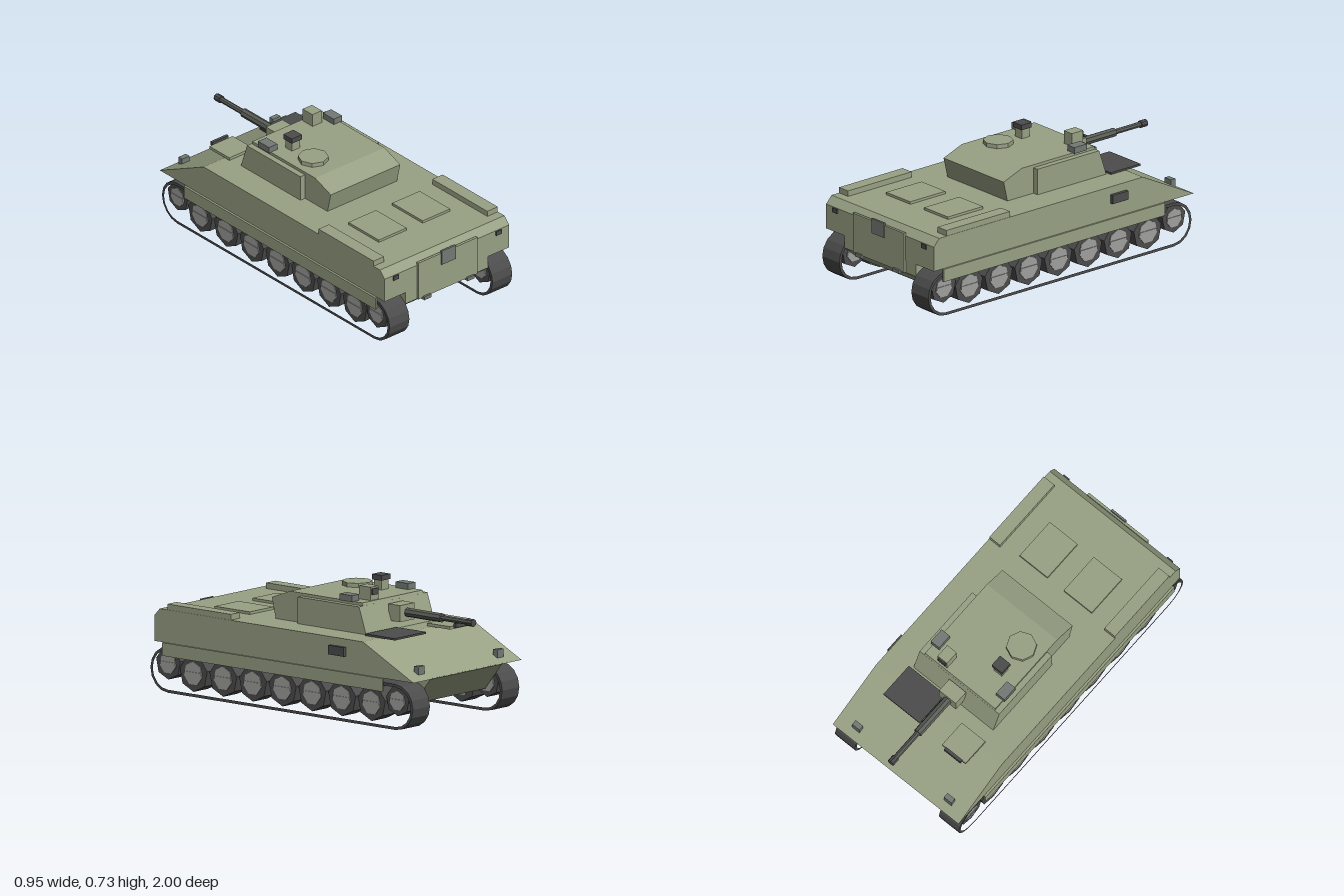
import * as THREE from 'three';

const mat = (name, color) => {
  const m = new THREE.MeshStandardMaterial({ color, flatShading: true });
  m.name = name;
  return m;
};

export function createModel() {
  const green = mat('olive green', 0x98a184);
  const dark = mat('dark grey', 0x4c4c4c);
  const grey = mat('glass grey', 0x737a74);
  const hubGrey = mat('hub grey', 0xa0a09e);
  const steel = mat('gun steel', 0x5b5e58);

  const model = new THREE.Group();
  model.name = 'trackedVehicle';
  const CX = -0.005; // centre line of the vehicle

  const add = (name, geo, material, parent = model) => {
    const mesh = new THREE.Mesh(geo, material);
    mesh.name = name;
    parent.add(mesh);
    return mesh;
  };
  // box from its min and max on each axis
  const box = (name, material, x0, x1, y0, y1, z0, z1, parent) => {
    const mesh = add(name, new THREE.BoxGeometry(x1 - x0, y1 - y0, z1 - z0), material, parent);
    mesh.position.set((x0 + x1) / 2, (y0 + y1) / 2, (z0 + z1) / 2);
    return mesh;
  };
  // side profile of [z, y] points, swept from x0 to x1
  const toShape = (pts) => pts.map(([z, y]) => new THREE.Vector2(-z, y));
  const sweep = (name, material, x0, x1, pts, hole, parent) => {
    const shape = new THREE.Shape(toShape(pts));
    if (hole) shape.holes.push(new THREE.Path(toShape(hole)));
    const geo = new THREE.ExtrudeGeometry(shape, { depth: x1 - x0, bevelEnabled: false });
    geo.rotateY(Math.PI / 2);
    geo.translate(x0, 0, 0);
    return add(name, geo, material, parent);
  };

  // Hull
  sweep('upperHull', green, -0.465, 0.455,
    [[0.965, 0.285], [0.965, 0.43], [0.925, 0.473], [-0.58, 0.473], [-0.955, 0.285]]);
  sweep('lowerHull', green, -0.31, 0.3,
    [[0.962, 0.288], [0.962, 0.21], [0.86, 0.127], [-0.82, 0.127], [-0.95, 0.288]]);
  box('skirt', green, -0.478, -0.465, 0.21, 0.285, -0.735, 0.9);
  box('skirt', green, 0.455, 0.466, 0.21, 0.285, -0.735, 0.9);
  box('stowageBin', green, -0.465, -0.388, 0.473, 0.506, 0.4, 0.87);
  box('stowageBin', green, 0.376, 0.453, 0.473, 0.506, 0.4, 0.87);
  box('roofHatch', green, -0.27, -0.065, 0.473, 0.488, 0.43, 0.69);
  box('roofHatch', green, 0.054, 0.257, 0.473, 0.488, 0.43, 0.69);
  box('driverHatch', green, -0.31, -0.138, 0.473, 0.49, -0.71, -0.54);
  box('driverPeriscope', dark, -0.286, -0.168, 0.48, 0.505, -0.728, -0.71);
  box('engineGrille', dark, 0.042, 0.308, 0.473, 0.484, -0.69, -0.47);
  box('exhaust', dark, 0.455, 0.475, 0.375, 0.427, -0.455, -0.34);

  // Rear door and lights
  box('rearDoor', green, -0.225, 0.212, 0.213, 0.447, 0.96, 0.976);
  box('doorPlate', grey, -0.057, 0.047, 0.375, 0.463, 0.97, 0.982);
  for (const x of [-0.166, 0.155]) box('doorStep', grey, x - 0.026, x + 0.026, 0.2, 0.221, 0.96, 0.988);
  for (const x of [-0.385, 0.374]) box('tailLight', dark, x - 0.02, x + 0.02, 0.401, 0.427, 0.96, 0.974);
  for (const x of [-0.343, 0.329]) box('headlight', grey, x - 0.027, x + 0.027, 0.31, 0.357, -0.905, -0.873);

  // Running gear
  const stadium = (r) => {
    const pts = [];
    for (const [cz, start] of [[0.87, -90], [-0.815, 90]]) {
      for (let i = 0; i <= 8; i++) {
        const a = THREE.MathUtils.degToRad(start + i * 22.5);
        pts.push([cz + r * Math.cos(a), 0.13 + r * Math.sin(a)]);
      }
    }
    return pts;
  };
  const wheelRows = [[0.877, 0.165, 0.092], [-0.823, 0.165, 0.087]];
  for (let i = 0; i < 7; i++) wheelRows.push([0.69 - i * 0.22, 0.13, 0.104]);

  for (const side of [-1, 1]) {
    const gear = new THREE.Group();
    gear.name = side > 0 ? 'leftRunningGear' : 'rightRunningGear';
    gear.position.x = CX + side * 0.38;
    model.add(gear);
    sweep('track', dark, -0.0725, 0.0725, stadium(0.13), stadium(0.113), gear);
    // wheel discs lie along x with a flat side down
    const disc = (name, material, r, width, z, y) => {
      const geo = new THREE.CylinderGeometry(r, r, width, 7);
      geo.rotateY(Math.PI / 7 + Math.PI / 2);
      geo.rotateZ(Math.PI / 2);
      if (name === 'hub') geo.rotateX(Math.PI / 7);
      add(name, geo, material, gear).position.set(0, y, z);
    };
    for (const [z, y, r] of wheelRows) {
      disc('tyre', dark, r, 0.124, z, y);
      disc('hub', hubGrey, r * 0.66, 0.132, z, y);
      box('hubBar', hubGrey, -0.07, 0.07, y - 0.009, y + 0.009, z - r * 0.6, z + r * 0.6, gear);
    }
  }

  // Turret
  const turret = new THREE.Group();
  turret.name = 'turret';
  model.add(turret);
  sweep('turretBody', green, -0.263, 0.25,
    [[0.243, 0.47], [0.272, 0.592], [0.138, 0.642], [-0.398, 0.642], [-0.455, 0.47]], null, turret);
  sweep('turretCheeks', green, -0.297, 0.285,
    [[0.052, 0.47], [0.052, 0.625], [-0.404, 0.625], [-0.457, 0.47]], null, turret);
  const hatch = add('commanderHatch', new THREE.CylinderGeometry(0.086, 0.086, 0.026, 8), green, turret);
  hatch.position.set(-0.138, 0.653, -0.023);

  // Sights
  box('periscopePost', green, -0.167, -0.108, 0.64, 0.697, -0.227, -0.172, turret);
  box('periscopeHead', dark, -0.175, -0.1, 0.697, 0.727, -0.235, -0.163, turret);
  box('sideSight', grey, -0.276, -0.215, 0.64, 0.677, -0.333, -0.24, turret);
  box('sideSight', grey, 0.202, 0.263, 0.64, 0.677, -0.333, -0.24, turret);
  box('gunnerSight', green, 0.099, 0.168, 0.636, 0.718, -0.387, -0.303, turret);
  box('sightWindow', dark, 0.108, 0.159, 0.672, 0.708, -0.395, -0.386, turret);

  // Gun
  box('mantlet', green, -0.068, 0.054, 0.518, 0.612, -0.508, -0.42, turret);
  const barrel = (name, material, r, z0, z1) => {
    const geo = new THREE.CylinderGeometry(r, r, z1 - z0, 8);
    geo.rotateX(Math.PI / 2);
    add(name, geo, material, turret).position.set(-0.007, 0.566, (z0 + z1) / 2);
  };
  barrel('barrelSleeve', steel, 0.026, -0.767, -0.5);
  barrel('barrel', steel, 0.016, -0.97, -0.76);
  barrel('muzzleBrake', dark, 0.022, -1, -0.957);

  return model;
}
